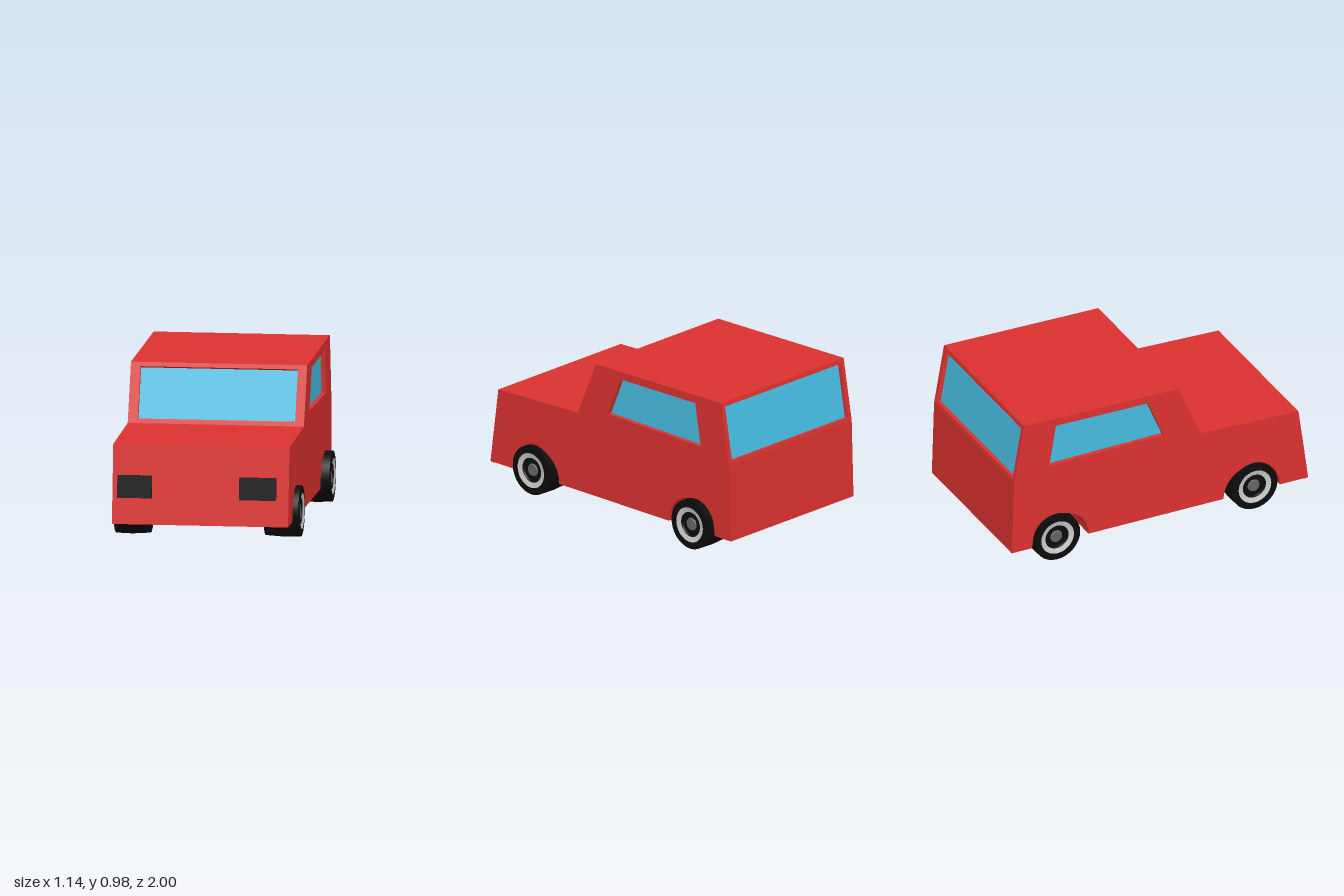
import * as THREE from 'three';
import { toCreasedNormals } from 'three/addons/utils/BufferGeometryUtils.js';

const mat = (color) => new THREE.MeshStandardMaterial({ color, side: THREE.DoubleSide });
const red = mat(0xdb322f), blue = mat(0x47bce0), black = mat(0x0c0c0c);
const silver = mat(0xbdbdbd), grey = mat(0x666666);

const X0 = -0.55, X1 = 0.52, T = 0.028; // body sides and panel thickness
const FLOOR = 0.115, ARCH = 0.19, WELL = 0.21;
const ARCH_Z = [0.62, -0.67];
// Side outline as [z, y], from the front bottom over the roof to the rear bottom
const OUTLINE = [[1, FLOOR], [0.935, 0.592], [0.275, 0.615], [0.125, 0.965],
  [-0.915, 0.983], [-0.982, 0.6], [-0.997, FLOOR]];
const PANELS = ['frontPanel', 'hood', 'windscreenFrame', 'roof', 'rearWindowFrame', 'rearPanel'];

function add(parent, name, geometry, material) {
  const mesh = new THREE.Mesh(geometry, material);
  mesh.name = name;
  parent.add(mesh);
  return mesh;
}

const polygon = (pts) => new THREE.Shape(pts.map(([x, y]) => new THREE.Vector2(x, y)));
const slab = (shape) => new THREE.ExtrudeGeometry(shape, { depth: T, bevelEnabled: false, curveSegments: 20 });

// Panel across the body between two outline points; hole = [xMin, xMax, yMin, yMax]
function addPanel(parent, name, a, b, hole) {
  const v = new THREE.Vector3(0, b[1] - a[1], b[0] - a[0]);
  const len = v.length();
  v.normalize();
  const u = new THREE.Vector3(1, 0, 0);
  const frame = new THREE.Matrix4().makeBasis(u, v, u.clone().cross(v)).setPosition(0, a[1], a[0]);
  const shape = polygon([[X0, 0], [X1, 0], [X1, len], [X0, len]]);
  if (hole) {
    const [l, r, y0, y1] = hole;
    const v0 = (y0 - a[1]) / v.y, v1 = (y1 - a[1]) / v.y;
    const opening = [[l, v0], [r, v0], [r, v1], [l, v1]];
    shape.holes.push(polygon(opening));
    add(parent, name.replace('Frame', 'Glass'),
      new THREE.ShapeGeometry(polygon(opening)).translate(0, 0, -T + 0.001).applyMatrix4(frame), blue);
  }
  add(parent, name, slab(shape).translate(0, 0, -T).applyMatrix4(frame), red);
}

// Side wall with wheel arches and a recessed window
function addSide(parent, side) {
  const name = side > 0 ? 'left' : 'right';
  const shape = polygon(OUTLINE);
  for (const z of [...ARCH_Z].reverse()) {
    shape.lineTo(z - ARCH, FLOOR);
    shape.absarc(z, FLOOR, ARCH, Math.PI, 0, true);
  }
  const opening = [[0.025, 0.67], [-0.08, 0.92], [-0.7, 0.928], [-0.745, 0.66]];
  shape.holes.push(polygon(opening));
  const frame = new THREE.Matrix4().makeBasis(
    new THREE.Vector3(0, 0, 1), new THREE.Vector3(0, 1, 0), new THREE.Vector3(-1, 0, 0));
  add(parent, name + 'Side', slab(shape).applyMatrix4(frame), red).position.x = side > 0 ? X1 : X0 + T;
  add(parent, name + 'SideGlass', new THREE.ShapeGeometry(polygon(opening)).applyMatrix4(frame), blue)
    .position.x = side > 0 ? X1 - T : X0 + T;
}

// Wheel well: half-round lining closed on its inner side
function addWell(parent, side, z) {
  const edge = side > 0 ? X1 : X0;
  const lining = new THREE.CylinderGeometry(ARCH, ARCH, WELL, 24, 1, true, 0, Math.PI).rotateZ(Math.PI / 2);
  add(parent, 'wheelWell', lining, red).position.set(edge - side * WELL / 2, FLOOR, z);
  add(parent, 'wheelWellEnd', new THREE.CircleGeometry(ARCH, 24, 0, Math.PI).rotateY(Math.PI / 2), red)
    .position.set(edge - side * WELL, FLOOR, z);
}

// Floor plate cut away around the wheels
function addFloor(parent) {
  const strip = (x0, x1, z0, z1) => add(parent, 'floor', new THREE.BoxGeometry(x1 - x0, 0.02, z1 - z0), red)
    .position.set((x0 + x1) / 2, FLOOR + 0.01, (z0 + z1) / 2);
  strip(X0 + WELL, X1 - WELL, -0.99, 0.99);
  const [f, r] = ARCH_Z;
  for (const [z0, z1] of [[-0.99, r - ARCH], [r + ARCH, f - ARCH], [f + ARCH, 0.99]]) {
    strip(X0 + 0.002, X0 + WELL, z0, z1);
    strip(X1 - WELL, X1 - 0.002, z0, z1);
  }
}

// Wheel turned around y, then laid on its side with the rim facing outwards
function makeWheel(name, side, width) {
  const h = width / 2;
  const wheel = new THREE.Group();
  wheel.name = name;
  const turned = (part, pts, material) => {
    const lathe = new THREE.LatheGeometry(pts.map(([x, y]) => new THREE.Vector2(x, y)), 32);
    add(wheel, part, toCreasedNormals(lathe, 0.5).rotateZ(-side * Math.PI / 2), material);
  };
  turned('tyre', [[0, -h], [0.15, -h], [0.157, 0], [0.154, h - 0.004], [0.11, h]], black);
  turned('rim', [[0.11, h], [0.078, h - 0.008]], silver);
  turned('rimCentre', [[0.078, h - 0.008], [0.072, h - 0.02], [0.038, h - 0.02]], black);
  turned('hub', [[0.04, h - 0.02], [0.036, h - 0.012], [0, h - 0.012]], grey);
  return wheel;
}

export function createModel() {
  const car = new THREE.Group();
  car.name = 'car';

  const body = new THREE.Group();
  body.name = 'body';
  car.add(body);
  const windows = {
    windscreenFrame: [-0.49, 0.465, 0.642, 0.94],
    rearWindowFrame: [-0.525, 0.497, 0.622, 0.955],
  };
  PANELS.forEach((name, i) => addPanel(body, name, OUTLINE[i], OUTLINE[i + 1], windows[name]));
  addFloor(body);

  for (const side of [1, -1]) {
    addSide(body, side);
    ARCH_Z.forEach((z) => addWell(body, side, z));
  }

  // Wheels: [name, side, inner x, outer x, z]
  for (const [name, side, inner, outer, z] of [
    ['frontLeftWheel', 1, 0.34, 0.557, 0.63], ['frontRightWheel', -1, -0.36, -0.573, 0.63],
    ['rearLeftWheel', 1, 0.345, 0.57, -0.7], ['rearRightWheel', -1, -0.36, -0.573, -0.7]]) {
    const wheel = makeWheel(name, side, Math.abs(outer - inner));
    wheel.position.set((inner + outer) / 2, 0.159, z);
    car.add(wheel);
  }

  // Headlights lean back with the front panel
  for (const [name, x0, x1] of [['rightHeadlight', -0.52, -0.31], ['leftHeadlight', 0.22, 0.445]]) {
    const lamp = add(car, name, new THREE.BoxGeometry(x1 - x0, 0.138, 0.03), black);
    lamp.position.set((x0 + x1) / 2, 0.34, 0.967);
    lamp.rotation.x = -0.135;
  }
  return car;
}
